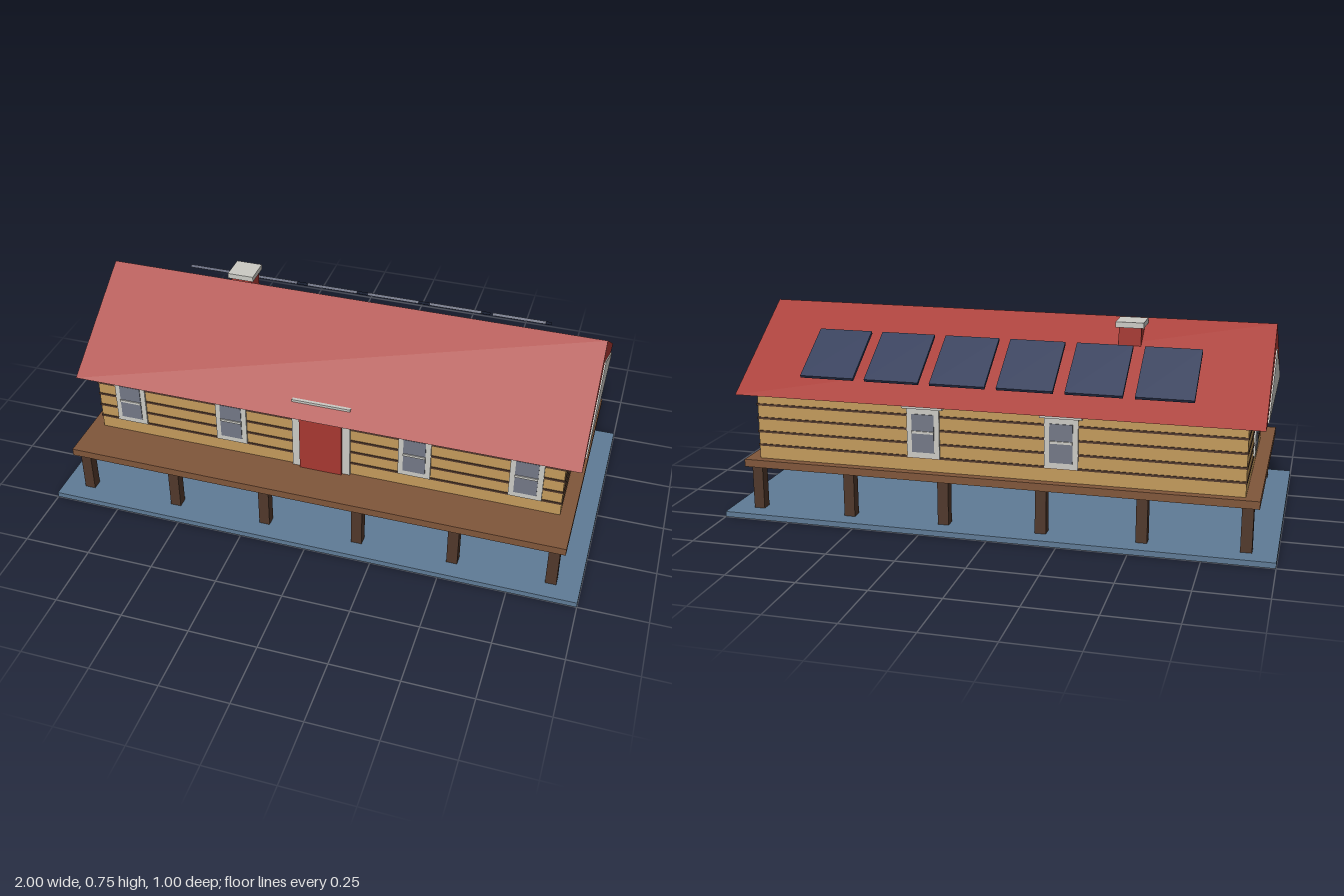
import * as THREE from 'three';

const mat = (name, color) => {
  const m = new THREE.MeshStandardMaterial({ color });
  m.name = name;
  return m;
};

export function createModel() {
  const house = new THREE.Group();
  house.name = 'logCabin';

  const water = mat('slateBlue', 0x5f7b96);
  const deckWood = mat('deckBrown', 0x80563a);
  const darkWood = mat('darkBrown', 0x50382b);
  const log = mat('logTan', 0xc39a5b);
  const red = mat('roofRed', 0xa73831);
  const trim = mat('trimGrey', 0xcbcac4);
  const glass = mat('glassGrey', 0x737886);
  const solar = mat('solarNavy', 0x303a58);

  const WALL_X = 0.885, WALL_Z = 0.352, MID_Z = -0.07;

  // box given by its extents
  const box = (name, m, x0, x1, y0, y1, z0, z1, parent = house) => {
    const mesh = new THREE.Mesh(new THREE.BoxGeometry(x1 - x0, y1 - y0, z1 - z0), m);
    mesh.position.set((x0 + x1) / 2, (y0 + y1) / 2, (z0 + z1) / 2);
    mesh.name = name;
    parent.add(mesh);
    return mesh;
  };

  // triangular prism running along x, centred on the ridge
  const prism = (name, m, halfZ, y0, y1, x0, x1) => {
    const s = new THREE.Shape();
    s.moveTo(-halfZ, y0);
    s.lineTo(halfZ, y0);
    s.lineTo(0, y1);
    s.closePath();
    const g = new THREE.ExtrudeGeometry(s, { depth: x1 - x0, bevelEnabled: false });
    g.rotateY(Math.PI / 2);
    const mesh = new THREE.Mesh(g, m);
    mesh.position.set(x0, 0, MID_Z);
    mesh.name = name;
    house.add(mesh);
  };

  // ground slab, posts and deck
  box('base', water, -1, 1, 0, 0.02, -0.5, 0.5);
  box('deck', deckWood, -0.935, 0.935, 0.185, 0.213, -0.453, 0.453);
  for (let i = 0; i < 6; i++) {
    const x = -0.895 + i * 0.358;
    for (const z of [-0.413, 0.413]) {
      box('post', darkWood, x - 0.02, x + 0.02, 0.02, 0.185, z - 0.02, z + 0.02);
    }
  }

  // log walls with dark chinking lines
  box('walls', log, -WALL_X, WALL_X, 0.213, 0.466, MID_Z - WALL_Z, MID_Z + WALL_Z);
  for (let i = 0; i < 4; i++) {
    const y = 0.265 + i * 0.051, e = 0.003;
    box('logGroove', darkWood, -WALL_X - e, WALL_X + e, y - 0.004, y + 0.004,
      MID_Z - WALL_Z - e, MID_Z + WALL_Z + e);
  }

  // roof and gable panels
  prism('roof', red, 0.41, 0.465, 0.74, -0.943, 0.943);
  prism('leftGable', trim, 0.336, 0.472, 0.65, 0.943, 0.948);
  prism('rightGable', trim, 0.336, 0.472, 0.65, -0.948, -0.943);

  // window built facing +z, with its back on the wall
  const addWindow = (x, z, turn) => {
    const w = new THREE.Group();
    w.name = 'window';
    box('windowFrame', trim, -0.06, 0.06, 0.264, 0.449, -0.005, 0.007, w);
    box('windowPane', glass, -0.041, 0.041, 0.285, 0.425, 0, 0.01, w);
    box('windowBar', trim, -0.041, 0.041, 0.355, 0.364, 0, 0.014, w);
    box('windowHeader', trim, -0.075, 0.075, 0.447, 0.467, -0.005, 0.021, w);
    w.position.set(x, 0, z);
    w.rotation.y = turn;
    house.add(w);
  };
  for (const x of [-0.754, -0.35, 0.35, 0.754]) addWindow(x, MID_Z + WALL_Z, 0);
  for (const x of [-0.25, 0.25]) addWindow(x, MID_Z - WALL_Z, Math.PI);
  for (const s of [-1, 1]) addWindow(s * WALL_X, MID_Z, s * Math.PI / 2);

  // front door with its surround
  box('doorFrame', trim, -0.11, 0.11, 0.213, 0.465, 0.275, 0.291);
  box('doorHeader', trim, -0.11, 0.11, 0.46, 0.509, 0.275, 0.288);
  box('door', red, -0.08, 0.08, 0.213, 0.456, 0.28, 0.3);

  // chimney
  box('chimney', red, -0.482, -0.402, 0.6, 0.725, -0.19, -0.11);
  box('chimneyCap', trim, -0.492, -0.392, 0.725, 0.745, -0.2, -0.1);

  // tilted solar panels above the rear slope
  for (let i = 0; i < 6; i++) {
    const panel = new THREE.Mesh(new THREE.BoxGeometry(0.2, 0.011, 0.24), solar);
    panel.position.set((i - 2.5) * 0.2417, 0.602, -0.336);
    panel.rotation.x = -0.572;
    panel.name = 'solarPanel';
    house.add(panel);
  }

  return house;
}
